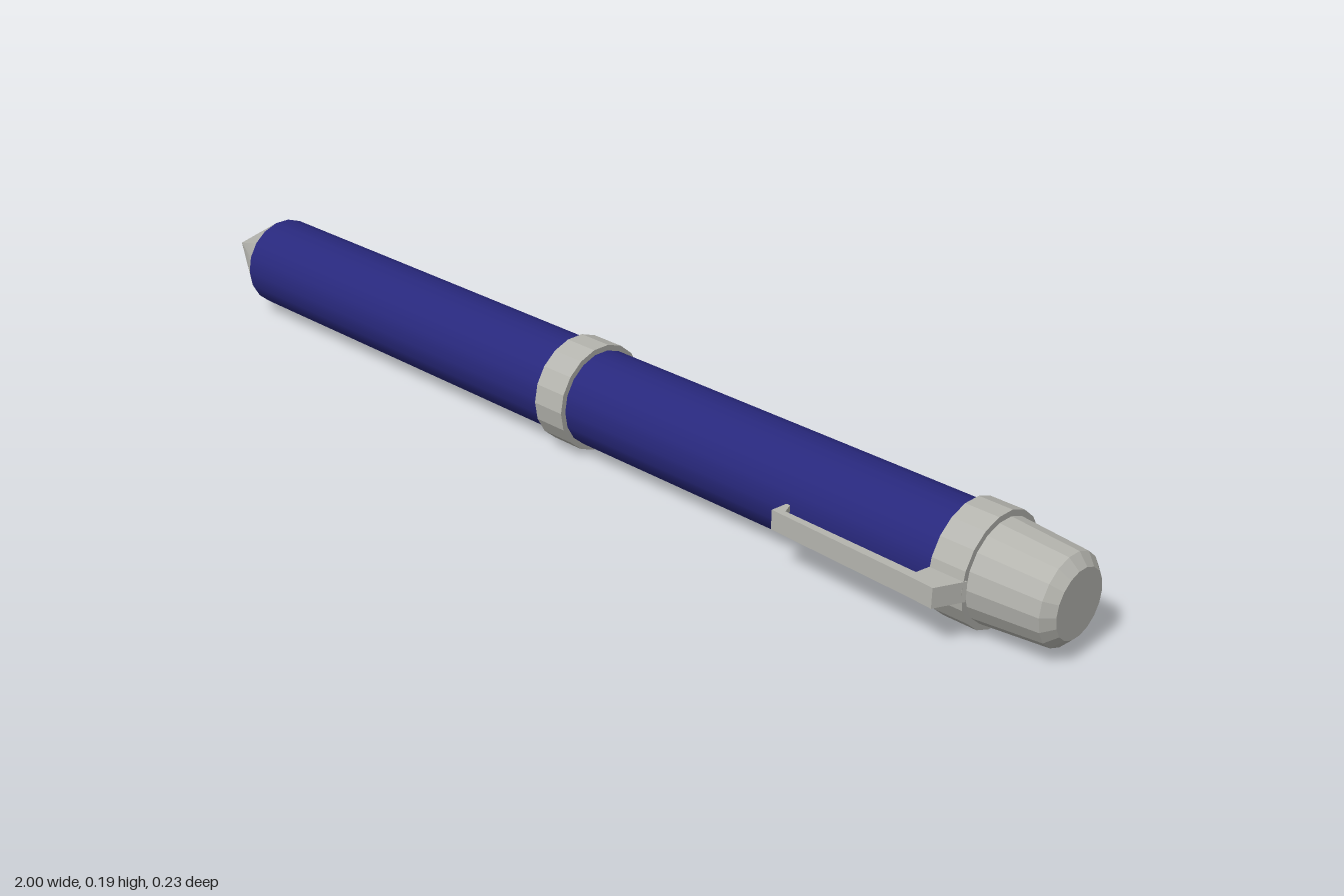
import * as THREE from 'three';

const SIDES = 18, AXIS_Y = 0.096, AXIS_Z = -0.022;

export function createModel() {
  const pen = new THREE.Group();
  pen.name = 'pen';

  const navy = new THREE.MeshStandardMaterial({ color: 0x28287c });
  navy.name = 'navy lacquer';
  const silver = new THREE.MeshStandardMaterial({ color: 0xb4b4ae });
  silver.name = 'silver metal';
  const silverFlat = silver;

  // Turned part along x from [x, radius] pairs; segments keep crisp edges
  function turned(name, points, material, faceted) {
    let geo = new THREE.LatheGeometry(
      points.map(([x, r]) => new THREE.Vector2(r, x)), SIDES);
    if (faceted) {
      geo = geo.toNonIndexed();
      geo.computeVertexNormals();
    }
    geo.rotateZ(-Math.PI / 2);
    const mesh = new THREE.Mesh(geo, material);
    mesh.name = name;
    mesh.position.set(0, AXIS_Y, AXIS_Z);
    pen.add(mesh);
  }

  // Barrel and writing tip
  turned('barrel', [[-0.857, 0.085], [0.81, 0.085]], navy, false);
  turned('tip', [[-1, 0], [-0.857, 0.085]], silver, false);

  // Raised bands at the middle and under the cap
  for (const [name, x0, x1] of [['middleBand', -0.027, 0.037], ['capBand', 0.805, 0.865]]) {
    turned(name, [[x0, 0.08], [x0, 0.095], [x1, 0.095], [x1, 0.08]], silverFlat, true);
  }

  // Tapered end cap with a bevelled rim
  turned('endCap', [[0.86, 0.085], [0.983, 0.075], [1, 0.057], [1, 0]], silverFlat, true);

  // Pocket clip: side profile in x and z, extruded across its width
  const profile = [
    [0.805, 0.065], [0.868, 0.065], [0.845, 0.116], [0.805, 0.113],
    [0.53, 0.101], [0.533, 0.07], [0.54, 0.07], [0.548, 0.09], [0.8, 0.096],
  ];
  const shape = new THREE.Shape(profile.map(([x, z]) => new THREE.Vector2(x, z)));
  const clipGeo = new THREE.ExtrudeGeometry(shape, { depth: 0.034, bevelEnabled: false });
  clipGeo.rotateX(Math.PI / 2);
  const clip = new THREE.Mesh(clipGeo, silver);
  clip.name = 'clip';
  clip.position.y = AXIS_Y + 0.017;
  pen.add(clip);

  return pen;
}
